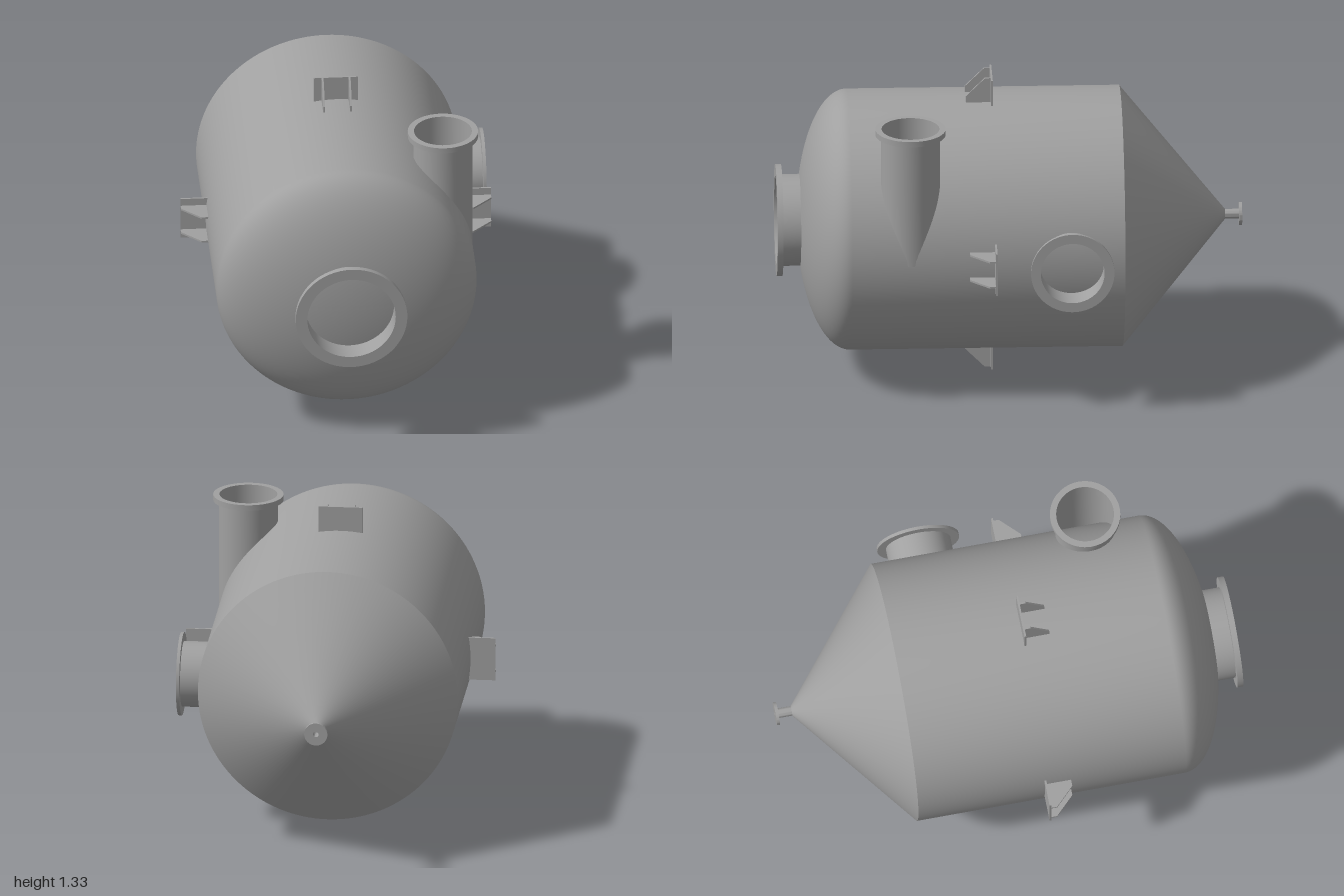
import * as THREE from 'three';
import { toCreasedNormals } from 'three/addons/utils/BufferGeometryUtils.js';

const AXIS_Y = 0.667; // height of the tank's horizontal axis
const RADIUS = 0.56;

const steel = new THREE.MeshStandardMaterial({ color: 0xa0a0a0 });
steel.name = 'grey steel';

function turned(name, profile, segments) {
  const points = profile.map(([r, y]) => new THREE.Vector2(r, y));
  const geometry = toCreasedNormals(new THREE.LatheGeometry(points, segments), 0.5);
  const mesh = new THREE.Mesh(geometry, steel);
  mesh.name = name;
  return mesh;
}

// Open pipe with a flange ring, running along +y from start to end
function nozzle(name, { bore, neck, flange, start, end, thick, floor }) {
  const profile = [
    [neck, start], [neck, end - thick], [flange, end - thick],
    [flange, end], [bore, end], [bore, floor ?? start],
  ];
  if (floor !== undefined) profile.push([0, floor]);
  return turned(name, profile, 64);
}

// Support lug: a back plate with two gussets, built outward along +y
function supportLug(name) {
  const lug = new THREE.Group();
  lug.name = name;
  const plate = new THREE.Mesh(new THREE.BoxGeometry(0.19, 0.127, 0.008), steel);
  plate.name = 'lugPlate';
  plate.position.set(0, 0.6035, 0.076);
  lug.add(plate);

  const side = new THREE.Shape([
    [0.078, 0.54], [0.187, 0.54], [0.187, 0.585], [0.105, 0.667], [0.078, 0.667],
  ].map(([z, y]) => new THREE.Vector2(z, y)));
  const gussetGeometry = new THREE.ExtrudeGeometry(side, { depth: 0.008, bevelEnabled: false });
  gussetGeometry.translate(0, 0, -0.004).rotateY(-Math.PI / 2);
  for (const x of [-0.058, 0.058]) {
    const gusset = new THREE.Mesh(gussetGeometry, steel);
    gusset.name = 'lugGusset';
    gusset.position.x = x;
    lug.add(gusset);
  }
  return lug;
}

export function createModel() {
  const model = new THREE.Group();
  model.name = 'processVessel';

  // Shell: rear cone, cylinder and elliptical front head
  const profile = [[0, -0.945], [RADIUS, -0.48]];
  const steps = 28;
  for (let i = 0; i <= steps; i++) {
    const a = (i / steps) * Math.PI / 2;
    profile.push([i === steps ? 0 : RADIUS * Math.cos(a), 0.69 + 0.222 * Math.sin(a)]);
  }
  const shell = turned('vesselShell', profile, 128);
  shell.rotation.x = Math.PI / 2;
  shell.position.y = AXIS_Y;
  model.add(shell);

  // Front manway
  const front = nozzle('frontManway', { bore: 0.19, neck: 0.197, flange: 0.24, start: 0.86, end: 1, thick: 0.025 });
  front.rotation.x = Math.PI / 2;
  front.position.y = AXIS_Y;
  model.add(front);

  // Small rear outlet at the cone tip
  const rear = nozzle('rearOutlet', { bore: 0.012, neck: 0.021, flange: 0.05, start: 0.91, end: 1, thick: 0.013, floor: 0.94 });
  rear.rotation.x = -Math.PI / 2;
  rear.position.y = AXIS_Y;
  model.add(rear);

  // Side nozzle
  const side = nozzle('sideNozzle', { bore: 0.137, neck: 0.141, flange: 0.179, start: 0.5, end: 0.66, thick: 0.014 });
  side.rotation.z = -Math.PI / 2;
  side.position.set(0, AXIS_Y, -0.25);
  model.add(side);

  // Tall offset nozzle, tangent to the shell's left side
  const top = nozzle('topNozzle', { bore: 0.124, neck: 0.127, flange: 0.151, start: 0.667, end: 1.255, thick: 0.025 });
  top.position.set(0.434, 0, 0.438);
  model.add(top);

  // Four support lugs around the shell
  ['topLug', 'rightLug', 'bottomLug', 'leftLug'].forEach((name, i) => {
    const lug = supportLug(name);
    lug.rotation.z = i * Math.PI / 2;
    lug.position.y = AXIS_Y;
    model.add(lug);
  });

  return model;
}
